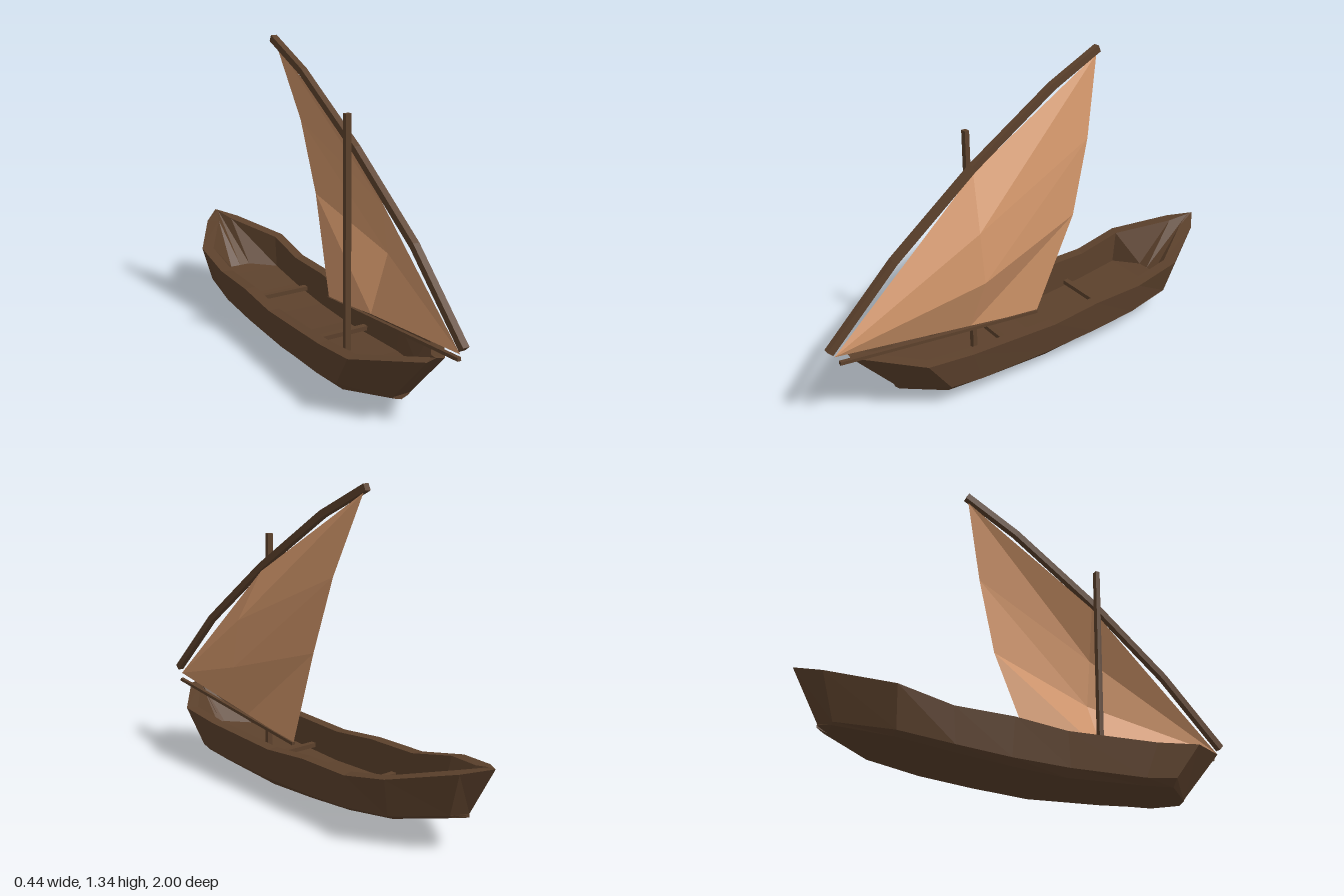
import * as THREE from 'three';

const wood = new THREE.MeshStandardMaterial({ color: 0x5c412c });
wood.name = 'dark wood';
const cloth = new THREE.MeshStandardMaterial({ color: 0xd2966a, side: THREE.DoubleSide });
cloth.name = 'tan sailcloth';

// Faceted skin over rows of [x, y, z] points; closed rows wrap round, caps fill the ends.
function loft(rows, closed = false, caps = false) {
  const pos = [];
  const tri = (a, b, c) => pos.push(...a, ...b, ...c);
  const n = rows[0].length;
  for (let i = 0; i < rows.length - 1; i++) {
    for (let j = 0; j < (closed ? n : n - 1); j++) {
      const k = (j + 1) % n;
      const a = rows[i][j], b = rows[i][k], c = rows[i + 1][k], d = rows[i + 1][j];
      tri(a, b, c);
      tri(a, c, d);
    }
  }
  if (caps) {
    const s = rows[0], e = rows[rows.length - 1];
    for (let j = 1; j < n - 1; j++) {
      tri(s[0], s[j + 1], s[j]);
      tri(e[0], e[j], e[j + 1]);
    }
  }
  const g = new THREE.BufferGeometry();
  g.setAttribute('position', new THREE.Float32BufferAttribute(pos, 3));
  g.computeVertexNormals();
  return g;
}

function part(name, geometry, material) {
  const m = new THREE.Mesh(geometry, material);
  m.name = name;
  return m;
}

// Square spar following points that run from bow to stern.
function spar(points, w, h) {
  const p = points.map((q) => new THREE.Vector3(...q));
  const rows = p.map((q, i) => {
    const t = p[Math.min(i + 1, p.length - 1)].clone().sub(p[Math.max(i - 1, 0)]);
    const up = new THREE.Vector3(0, -t.z, t.y).normalize().multiplyScalar(h / 2);
    return [[-1, 1], [1, 1], [1, -1], [-1, -1]].map(([sx, sy]) =>
      [q.x + sx * w / 2, q.y + sy * up.y, q.z + sy * up.z]);
  });
  return loft(rows, true, true);
}

// Hull stations, bow to stern: rail x y z, chine x y z, keel y, floor half width.
const stations = [
  [0, 0.318, 0.90, 0, 0.08, 0.70, 0.06, 0],
  [0.04, 0.31, 0.90, 0.04, 0.08, 0.70, 0.06, 0.02],
  [0.22, 0.265, 0.66, 0.20, 0.11, 0.55, 0.03, 0.13],
  [0.22, 0.24, 0.45, 0.20, 0.09, 0.40, 0.03, 0.17],
  [0.22, 0.22, 0.03, 0.20, 0.08, 0.05, 0, 0.17],
  [0.22, 0.24, -0.20, 0.20, 0.085, -0.20, 0.025, 0.17],
  [0.22, 0.24, -0.45, 0.20, 0.10, -0.43, 0.05, 0.17],
  [0.22, 0.285, -0.67, 0.18, 0.125, -0.65, 0.085, 0.17],
  [0.085, 0.34, -0.91, 0.06, 0.16, -0.85, 0.135, 0.05],
  [0, 0.365, -1.0, 0, 0.165, -0.89, 0.15, 0],
];

// Mirrored ring round one station: floor, inner rail, outer rail, chine, bilge, keel.
function hullRing([rx, ry, rz, cx, cy, cz, ky, fx]) {
  const fz = THREE.MathUtils.clamp(rz * 0.95, -0.71, 0.70);
  const fy = 0.085 + 0.12 * fz * fz;
  const side = [
    [fx, fy, fz],
    [Math.max(0, rx - 0.05), ry, rz * 0.97],
    [rx, ry, rz],
    [cx, cy, cz],
    [cx * 0.85, ky + (cy - ky) * 0.6, cz],
  ];
  const mirror = side.map(([x, y, z]) => [-x, y, z]).reverse();
  return [[0, fy, fz], ...side, [0, ky, cz], ...mirror];
}

export function createModel() {
  const boat = new THREE.Group();
  boat.name = 'sailing boat';

  // Hull shell
  boat.add(part('hull', loft(stations.map(hullRing), true), wood));

  // Cross benches low in the hull
  for (const z of [0.19, -0.335]) {
    const bench = part('bench', new THREE.BoxGeometry(0.35, 0.02, 0.026), wood);
    bench.position.set(0, 0.12, z);
    boat.add(bench);
  }

  // Mast, leaning slightly sideways
  const mast = part('mast', new THREE.BoxGeometry(0.026, 1.02, 0.02), wood);
  mast.position.set(-0.006, 0.59, 0.31);
  mast.rotation.z = 0.013;
  boat.add(mast);

  // Bent yard above the sail and thin boom below it
  boat.add(part('yard', spar([
    [0.05, 0.378, 0.99], [0.045, 0.67, 0.69], [0.03, 0.955, 0.31],
    [0.018, 1.207, -0.09], [0.008, 1.322, -0.337],
  ], 0.028, 0.03), wood));
  boat.add(part('boom', spar([[0.06, 0.322, 0.955], [0.08, 0.217, 0.03]], 0.016, 0.014), wood));

  // Billowing sail, fanning out from the bow corner
  const tack = [0.05, 0.35, 0.97];
  boat.add(part('sail', loft([
    [tack, [0.075, 0.27, 0.37], [0.08, 0.218, 0.03]],
    [tack, [0.165, 0.51, 0.35], [0.11, 0.65, -0.14]],
    [tack, [0.135, 0.72, 0.35], [0.085, 0.97, -0.23]],
    [tack, [0.035, 0.935, 0.31], [0.015, 1.30, -0.325]],
  ]), cloth));

  return boat;
}
